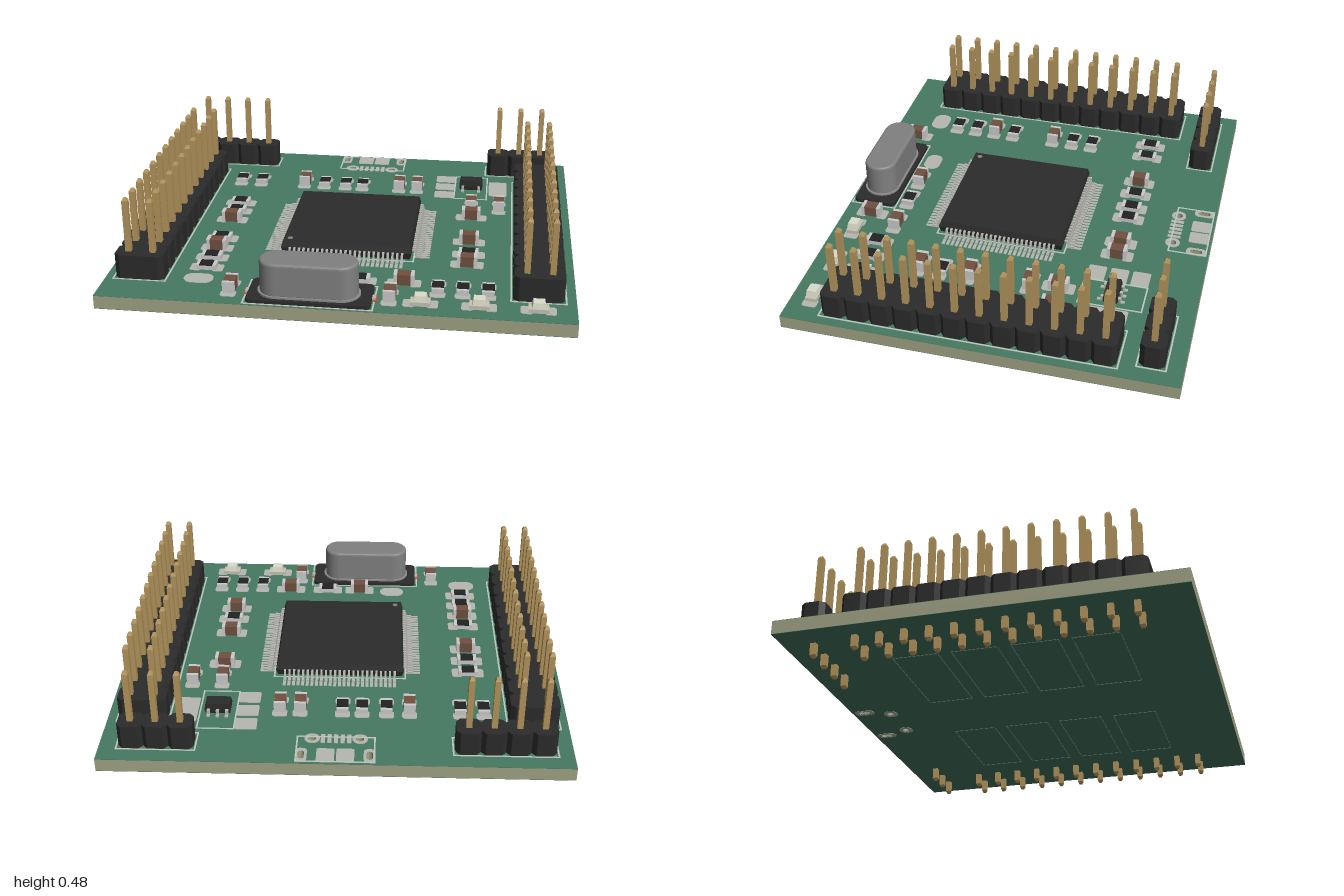
import * as THREE from 'three';
import { mergeGeometries } from 'three/addons/utils/BufferGeometryUtils.js';

const TOP = 0.125, BOTTOM = 0.065;
const BLACK = 0x2b2b2b, METAL = 0xb8b8b2, GOLD = 0xb3945c, SILK = 0xbcc8c0;

// Box given by centre x/z, bottom y and size
function box(x, y, z, w, h, d) {
  return new THREE.BoxGeometry(w, h, d).translate(x, y + h / 2, z);
}

// Horizontal slab: the shape's second axis is z, its upper face lies at y = top
function slab(shape, top, depth) {
  return new THREE.ExtrudeGeometry(shape, { depth, bevelEnabled: false, curveSegments: 10 })
    .rotateX(Math.PI / 2).translate(0, top, 0);
}

// Rounded rectangle outline; r = half the short side gives a slot
function rounded(x, z, w, d, r, P = THREE.Shape) {
  const s = new P(), a = x - w / 2, b = x + w / 2, c = z - d / 2, e = z + d / 2;
  s.moveTo(a + r, c).lineTo(b - r, c);
  s.absarc(b - r, c + r, r, -Math.PI / 2, 0).lineTo(b, e - r);
  s.absarc(b - r, e - r, r, 0, Math.PI / 2).lineTo(a + r, e);
  s.absarc(a + r, e - r, r, Math.PI / 2, Math.PI).lineTo(a, c + r);
  s.absarc(a + r, c + r, r, Math.PI, Math.PI * 1.5);
  return s;
}

// Rectangle with cut corners
function chamfered(w, d, cx, cz) {
  const a = w / 2, b = d / 2;
  return new THREE.Shape([[-a + cx, -b], [a - cx, -b], [a, -b + cz], [a, b - cz],
    [a - cx, b], [-a + cx, b], [-a, b - cz], [-a, -b + cz]].map(p => new THREE.Vector2(...p)));
}

// Four thin printed lines around a rectangle
function frame(x, z, w, d, y = TOP + 0.0015, t = 0.007) {
  return [-1, 1].flatMap(s => [box(x, y, z + s * d / 2, w + t, 0.002, t), box(x + s * w / 2, y, z, t, 0.002, d)]);
}

export function createModel() {
  const model = new THREE.Group();
  const mats = {};
  // Merge geometries into one named mesh with faceted normals
  function add(name, color, geos, parent = model, smooth = false) {
    const g = mergeGeometries(geos.map(q => (q.index ? q.toNonIndexed() : q)));
    if (!smooth) g.computeVertexNormals();
    mats[color] ??= new THREE.MeshStandardMaterial({ color });
    const m = new THREE.Mesh(g, mats[color]);
    m.name = name;
    parent.add(m);
  }
  function group(name) {
    const g = new THREE.Group();
    g.name = name;
    model.add(g);
    return g;
  }

  // Board with connector mounting holes
  const slots = [-0.144, 0.144], rounds = [-0.102, 0.102];
  const boardShape = rounded(0, 0, 2, 1.71, 0.001);
  const holes = [...slots.map(x => rounded(x, -0.797, 0.026, 0.055, 0.0129, THREE.Path)),
    ...rounds.map(x => rounded(x, -0.683, 0.034, 0.034, 0.0169, THREE.Path))];
  boardShape.holes.push(...holes);
  add('boardCore', 0xa0a283, [slab(boardShape, TOP - 0.001, TOP - BOTTOM - 0.002)]);
  add('solderMask', 0x467a62, [slab(boardShape, TOP + 0.0005, 0.0015), slab(boardShape, BOTTOM + 0.001, 0.0015)]);

  // Pads of the unfitted socket, on both faces where they surround holes
  const pads = [];
  const ringPad = (x, z, w, d, r, i) => {
    const s = rounded(x, z, w, d, r);
    s.holes.push(holes[i]);
    pads.push(slab(s, TOP + 0.003, 0.003), slab(s, BOTTOM, 0.002));
  };
  const flat = (x, z, w, d, r = 0.008) => pads.push(slab(rounded(x, z, w, d, r), TOP + 0.003, 0.003));
  slots.forEach((x, i) => ringPad(x, -0.797, 0.05, 0.09, 0.02, i));
  rounds.forEach((x, i) => ringPad(x, -0.683, 0.066, 0.066, 0.032, i + 2));
  for (const x of [-0.042, 0.042]) flat(x, -0.797, 0.076, 0.09);
  for (let i = -2; i <= 2; i++) flat(i * 0.028, -0.683, 0.018, 0.06, 0.003);
  // Regulator footprint and solder jumpers
  for (const z of [-0.588, -0.49, -0.39]) flat(0.394, z, 0.096, 0.08);
  flat(0.658, -0.487, 0.09, 0.175);
  flat(-0.6, 0.647, 0.128, 0.086, 0.04);
  flat(-0.24, 0.575, 0.118, 0.078, 0.036);

  // Pin headers
  const pinGeo = new THREE.LatheGeometry([[0, 0], [0.009, 0], [0.0177, 0.012], [0.0177, 0.468], [0.009, 0.48], [0, 0.48]]
    .map(p => new THREE.Vector2(...p)), 4).rotateY(Math.PI / 4);
  const P = 0.1058;
  function header(name, x, z, cols, rows) {
    const g = group(name), body = [], pins = [], alongX = rows === 1;
    const n = alongX ? cols : rows;
    const outline = alongX ? chamfered(P, 0.106, 0.018, 0.022) : chamfered(P * cols, P, 0.022, 0.018);
    for (let i = 0; i < n; i++) {
      const o = (i - (n - 1) / 2) * P;
      body.push(slab(outline, 0.235, 0.235 - TOP).translate(x + (alongX ? o : 0), 0, z + (alongX ? 0 : o)));
    }
    for (let c = 0; c < cols; c++) for (let r = 0; r < rows; r++) {
      pins.push(pinGeo.clone().translate(x + (c - (cols - 1) / 2) * P, 0, z + (r - (rows - 1) / 2) * P));
    }
    add('housing', BLACK, body, g);
    add('pins', GOLD, pins, g);
    add('outline', SILK, frame(x, z, cols * P + 0.016, rows * P + 0.016), g);
  }
  header('rightHeader', -0.85, 0.053, 2, 12);
  header('leftHeader', 0.844, 0.053, 2, 12);
  header('fourPinHeader', -0.714, -0.722, 4, 1);
  header('threePinHeader', 0.758, -0.722, 3, 1);

  // Processor: body in two tapered halves, 25 gull-wing leads per side
  const chip = group('processor'), CZ = 0.08;
  const half = (r0, r1, y0, y1, w, d, x, z) => new THREE.CylinderGeometry(r1 * Math.SQRT1_2, r0 * Math.SQRT1_2, y1 - y0, 4)
    .rotateY(Math.PI / 4).scale(w, 1, d).translate(x, (y0 + y1) / 2, z);
  add('body', BLACK, [half(0.97, 1, 0.13, 0.16, 0.585, 0.585, 0, CZ), half(1, 0.97, 0.16, 0.19, 0.585, 0.585, 0, CZ)], chip);
  const dot = new THREE.CylinderGeometry(0.012, 0.012, 0.002, 16).translate(-0.255, 0.191, CZ + 0.255);
  add('pinOneMark', 0x8a8272, [dot], chip);
  const wing = new THREE.Shape([[0.28, 0.156], [0.302, 0.156], [0.309, 0.128], [0.336, 0.128], [0.336, 0.134],
    [0.314, 0.134], [0.306, 0.163], [0.28, 0.163]].map(p => new THREE.Vector2(...p)));
  const leadGeo = new THREE.ExtrudeGeometry(wing, { depth: 0.01, bevelEnabled: false });
  const leads = [];
  for (let s = 0; s < 4; s++) for (let i = -12; i <= 12; i++) {
    const place = g => g.rotateY(s * Math.PI / 2).translate(0, 0, CZ);
    leads.push(place(leadGeo.clone().translate(0, 0, i * 0.0209 - 0.005)));
    pads.push(place(box(0.335, TOP, i * 0.0209, 0.068, 0.003, 0.0135).toNonIndexed()));
  }
  add('leads', METAL, leads, chip);
  add('outline', SILK, frame(0, CZ, 0.6, 0.6), chip);

  // Crystal: moulded base, flange, rounded metal can
  const crystal = group('crystal');
  const cx = -0.1, cz = 0.74;
  add('base', BLACK, [slab(chamfered(0.52, 0.2, 0.015, 0.015), 0.142, 0.142 - TOP).translate(cx, 0, cz)], crystal);
  const can = new THREE.ExtrudeGeometry(rounded(0, 0, 0.392, 0.126, 0.0629),
    { depth: 0.131, bevelThickness: 0.012, bevelSize: 0.012, bevelSegments: 3, curveSegments: 16 })
    .rotateX(Math.PI / 2).translate(cx - 0.005, 0.283, cz);
  add('can', 0x808080, [can], crystal, true);
  add('flange', 0x8c8c8c, [slab(rounded(cx - 0.005, cz, 0.435, 0.165, 0.082), 0.15, 0.01)], crystal);
  add('leads', METAL, [-1, 1].map(s => box(cx + s * 0.255, TOP + 0.003, cz, 0.04, 0.01, 0.03)), crystal);
  add('solder', 0xb0553c, [-1, 1].map(s => box(cx + s * 0.255, TOP, cz, 0.052, 0.004, 0.06)), crystal);
  add('outline', SILK, frame(cx, cz, 0.54, 0.212), crystal);

  // Chip resistors, capacitors and lamps: [x, z, turned]
  const row = (xs, z) => xs.map(x => [x, z, true]), column = (x, zs) => zs.map(z => [x, z, false]);
  const resistors = [...row([-0.64, -0.538, -0.214, -0.107, -0.021], -0.455), ...row([0.425, 0.53, 0.636], 0.626),
    ...column(-0.588, [-0.163, -0.064, 0.246, 0.444, 0.543]), [0.088, 0.585, false], [0.54, 0.28, false]];
  const capacitors = [...row([-0.315, 0.165, 0.254], -0.455), ...row([-0.444, 0.23], 0.722),
    ...row([0.532, 0.666], -0.25), ...column(-0.588, [0.037, 0.345]), ...column(0.537, [-0.123, 0.15, 0.38]),
    [-0.075, 0.585, false], [0.278, 0.585, false]];
  const lamps = column(0, [0, 0, 0]).map((p, i) => [0.36 + i * 0.241, 0.76, false]);
  const spread = (list, make) => list.flatMap(([x, z, turned]) => make().map(g =>
    g.rotateY(turned ? Math.PI / 2 : 0).translate(x, TOP, z)));
  const ends = h => () => [-1, 1].map(s => box(s * 0.0365, 0.002, 0, 0.015, h, 0.052));
  pads.push(...spread([...resistors, ...capacitors, ...lamps],
    () => [-1, 1].map(s => slab(rounded(s * 0.049, 0, 0.048, 0.066, 0.012), 0.003, 0.003))));
  add('resistorBodies', 0xd0d0cc, spread(resistors, () => [box(0, 0.002, 0, 0.06, 0.02, 0.051)]));
  add('resistorCoatings', 0x222222, spread(resistors, () => [box(0, 0.022, 0, 0.058, 0.005, 0.051)]));
  add('resistorEnds', 0xc4c4c0, spread(resistors, ends(0.024)));
  add('capacitorBodies', 0x70503f, spread(capacitors, () => [box(0, 0.003, 0, 0.06, 0.048, 0.05)]));
  add('capacitorEnds', 0xc4c4c0, spread(capacitors, ends(0.05)));
  add('lampBases', 0xc8c4b4, spread(lamps, () => [box(0, 0.002, 0, 0.083, 0.018, 0.052)]));
  add('lampLenses', 0xdcdccc, spread(lamps, () => [half(1, 0.82, 0.02, 0.047, 0.058, 0.052, 0, 0)]));

  // Small regulator with five leads
  const reg = group('regulator'), rx = 0.524, rz = -0.487;
  add('body', BLACK, [half(0.94, 1, 0.13, 0.15, 0.115, 0.064, rx, rz), half(1, 0.92, 0.15, 0.178, 0.115, 0.064, rx, rz)], reg);
  const regLeads = [[-0.04, -1], [0, -1], [0.04, -1], [-0.04, 1], [0.04, 1]].flatMap(([dx, s]) => [
    box(rx + dx, 0.147, rz + s * 0.034, 0.014, 0.006, 0.014), box(rx + dx, 0.128, rz + s * 0.042, 0.014, 0.025, 0.006),
    box(rx + dx, 0.128, rz + s * 0.051, 0.014, 0.006, 0.018)]);
  add('leads', METAL, regLeads, reg);
  add('outline', SILK, frame(0.524, -0.487, 0.16, 0.28), reg);

  add('pads', METAL, pads);

  // Printed outlines on top, pin table frames underneath
  add('socketOutline', SILK, frame(0, -0.757, 0.33, 0.17));
  const table = [];
  for (const x of [-0.42, 0.42]) for (let i = 0; i < 4; i++) table.push(...frame(x, -0.36 + i * 0.26, 0.48, 0.2, BOTTOM - 0.002, 0.005));
  add('undersideTable', 0x6f8f80, table);
  return model;
}
